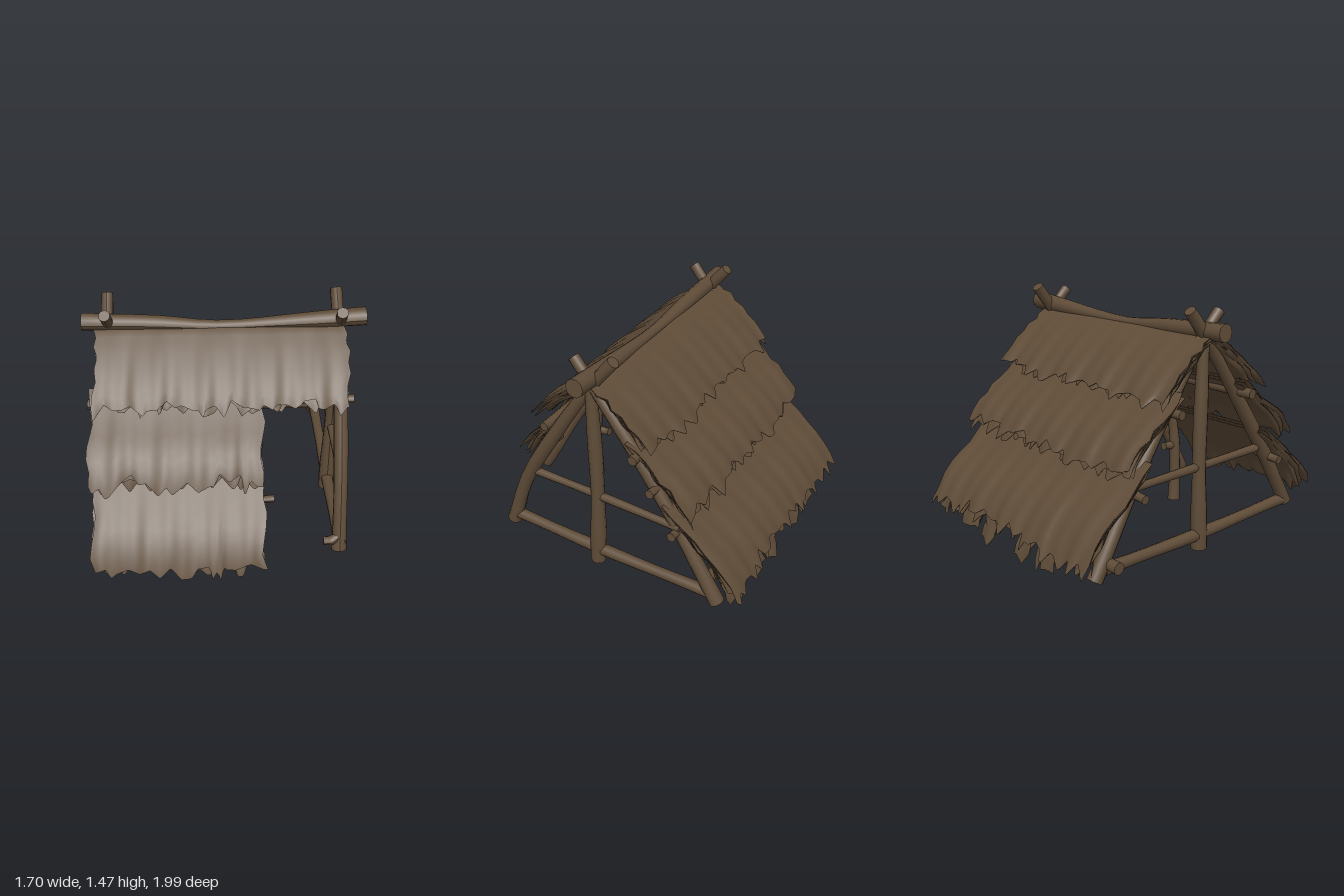
import * as THREE from 'three';

const wood = new THREE.MeshStandardMaterial({ color: 0x5f4c38, side: THREE.DoubleSide });
wood.name = 'weathered brown';

function seeded(seed) {
  let s = seed * 7919 + 17;
  return () => (s = (s * 16807) % 2147483647) / 2147483647;
}

const vec = (p) => new THREE.Vector3(...p);

// A rough pole: a capped cylinder bent along a curve, uneven in radius; waist thins its middle
function log(name, pts, r0, r1 = r0, waist = 0) {
  const curve = new THREE.CatmullRomCurve3(pts.map(vec));
  const geo = new THREE.CylinderGeometry(r1, r0, 1, 10, 12);
  const pos = geo.attributes.position;
  const up = new THREE.Vector3(0, 1, 0);
  const q = new THREE.Quaternion();
  const v = new THREE.Vector3();
  const phase = pts[0][0] * 9 + pts[0][2] * 5;
  for (let i = 0; i < pos.count; i++) {
    v.fromBufferAttribute(pos, i);
    const t = THREE.MathUtils.clamp(v.y + 0.5, 0, 1);
    const k = 1 + 0.07 * Math.sin(t * 11 + phase) - waist * Math.sin(Math.PI * t);
    v.set(v.x * k, 0, v.z * k);
    q.setFromUnitVectors(up, curve.getTangent(t));
    v.applyQuaternion(q).add(curve.getPoint(t));
    pos.setXYZ(i, v.x, v.y, v.z);
  }
  geo.computeVertexNormals();
  const mesh = new THREE.Mesh(geo, wood);
  mesh.name = name;
  return mesh;
}

// Amount cut from a ragged edge as a function of x: mostly shallow steps, now and then a long tuft
function raggedEdge(x0, x1, rand, depth) {
  const knots = [];
  for (let x = x0; x < x1 + 0.15; x += 0.015 + 0.06 * rand()) {
    const pick = rand();
    const cut = pick < 0.2 ? 0.25 * rand() : pick < 0.85 ? 0.4 + 0.3 * rand() : 0.75 + 0.25 * rand();
    knots.push([x, depth * cut]);
  }
  return (x) => {
    const i = Math.max(1, knots.findIndex((k) => k[0] > x));
    const [a, b] = [knots[i - 1], knots[i]];
    return THREE.MathUtils.lerp(a[1], b[1], THREE.MathUtils.clamp((x - a[0]) / (b[0] - a[0]), 0, 1));
  };
}

// One thatch layer: a closed lamina following a [z, y] profile, with a ragged lower edge
function thatch(name, profile, x0, x1, thick, depth, seed) {
  const rand = seeded(seed);
  const curve = new THREE.CatmullRomCurve3(profile.map(([z, y]) => new THREE.Vector3(0, y, z)));
  const side = Math.sign(profile[profile.length - 1][0]);
  const length = curve.getLength();
  const edge = raggedEdge(x0, x1, rand, depth);
  const nx = Math.max(8, Math.round((x1 - x0) * 85)), nt = 9, ring = 2 * nt;
  const wobble = Array.from({ length: nt }, () => (rand() - 0.5) * 0.035);
  const ph = rand() * 6;
  const positions = [], index = [];
  for (let i = 0; i <= nx; i++) {
    const u = i / nx;
    const x = x0 + (x1 - x0) * u;
    const rim = i === 0 || i === nx ? 0.15 : 1;
    const trim = 1 - edge(x) / length;
    for (let j = 0; j < ring; j++) {
      const outer = j < nt;
      const row = outer ? j : ring - 1 - j;
      const s = row / (nt - 1);
      const p = curve.getPoint(s * trim);
      const tan = curve.getTangent(s * trim);
      // outward normal of the slope
      const ny = Math.abs(tan.z), nz = side * Math.abs(tan.y);
      const ripple = s * (0.006 * Math.sin(x * 19 + ph + s * 2) + 0.004 * Math.sin(x * 47 + ph * 3));
      const d = ripple - (outer ? 0 : thick * rim * Math.sin(Math.PI * (0.12 + 0.8 * s)));
      const shift = wobble[row] * Math.abs(2 * u - 1) ** 8;
      positions.push(x + shift, p.y + ny * d, p.z + nz * d);
    }
  }
  for (let i = 0; i < nx; i++) {
    for (let j = 0; j < ring; j++) {
      const a = i * ring + j, b = i * ring + ((j + 1) % ring);
      const c = a + ring, e = b + ring;
      if (side > 0) index.push(a, b, c, b, e, c);
      else index.push(a, c, b, b, c, e);
    }
  }
  const geo = new THREE.BufferGeometry();
  geo.setAttribute('position', new THREE.Float32BufferAttribute(positions, 3));
  geo.setIndex(index);
  geo.computeVertexNormals();
  const mesh = new THREE.Mesh(geo, wood);
  mesh.name = name;
  return mesh;
}

// A tier is three layers that lie together at the top and fan apart toward the tips
function tier(name, profile, x0, x1, depth, seed) {
  const g = new THREE.Group();
  g.name = name;
  const side = Math.sign(profile[profile.length - 1][0]);
  for (let m = 0; m < 3; m++) {
    const layer = profile.map(([z, y], i) => {
      const k = i / (profile.length - 1);
      return [z - side * m * (0.008 + 0.03 * k * k), y - m * 0.014 * (1 - 0.6 * k)];
    });
    g.add(thatch(`${name}Layer${m + 1}`, layer, x0 + m * 0.01, x1 - m * 0.01, 0.026, depth, seed + m * 40));
  }
  return g;
}

export function createModel() {
  const model = new THREE.Group();
  model.name = 'thatchedShelter';
  const add = (...parts) => model.add(...parts);

  // Ridge beam, sagging and thinner in the middle
  add(log('ridgeBeam', [[-0.85, 1.33, 0], [-0.4, 1.315, 0], [-0.05, 1.295, 0.005], [0.4, 1.315, 0], [0.84, 1.345, 0]], 0.057, 0.057, 0.35));

  // Gable frames: post, crossed rafters, tie and sill
  for (const s of [-1, 1]) {
    const x = s * 0.69;
    const sillEnd = s > 0 ? 0.66 : 0.82;
    add(log('gablePost', [[x, 0.01, 0], [x, 0.6, -0.015], [x, 1.28, 0]], 0.05, 0.036));
    add(log('backRafter', [[x, 0.06, -0.82], [x, 0.55, -0.53], [x, 0.95, -0.27], [x, 1.28, -0.02], [x - 0.01, 1.43, 0.11]], 0.045, 0.033));
    add(log('gableTie', [[x + s * 0.02, 0.53, -0.58], [x, 0.525, 0], [x, 0.53, 0.5]], 0.025));
    add(log('gableSill', [[x, 0.11, -0.76], [x, 0.1, 0], [x, 0.12, sillEnd]], 0.036));
  }
  add(log('frontRafterRight', [[-0.69, 0.1, 0.82], [-0.69, 0.55, 0.54], [-0.69, 0.92, 0.28], [-0.7, 1.28, 0.01], [-0.7, 1.45, -0.13]], 0.047, 0.033));
  add(log('frontRafterLeft', [[0.69, 0.06, 0.65], [0.69, 0.45, 0.51], [0.69, 0.88, 0.26], [0.68, 1.28, 0], [0.67, 1.46, -0.14]], 0.048, 0.034));
  add(log('branchStub', [[0.59, 0.13, 0.65], [0.64, 0.135, 0.65], [0.69, 0.16, 0.63]], 0.028));

  // Doorway edge pole, and the forked prop behind the front thatch
  add(log('doorPole', [[0.18, 0.13, 0.76], [0.18, 0.53, 0.53], [0.18, 0.94, 0.29]], 0.034, 0.03));
  add(log('innerProp', [[-0.02, 0.01, 0.47], [-0.02, 0.3, 0.475], [-0.02, 0.5, 0.46], [-0.02, 0.72, 0.42]], 0.04, 0.03));
  add(log('propFork', [[-0.02, 0.4, 0.47], [-0.02, 0.405, 0.42], [-0.02, 0.41, 0.365]], 0.026));

  // Purlins, and the pegs that stick out past the rafters: [name, x0, x1, y, z, radius]
  const bars = [
    ['frontPurlin', -0.82, 0.76, 0.94, 0.29, 0.03],
    ['backPurlin', -0.82, 0.76, 0.92, -0.3, 0.028],
    ['backRail', -0.8, 0.64, 0.155, -0.74, 0.034],
    ['peg', 0.62, 0.78, 0.75, -0.42, 0.025],
    ['peg', 0.62, 0.78, 0.5, -0.56, 0.026],
    ['peg', -0.81, -0.62, 0.5, -0.56, 0.026],
    ['peg', -0.8, -0.62, 0.46, 0.6, 0.026],
    ['peg', 0.1, 0.28, 0.435, 0.6, 0.022],
  ];
  for (const [name, x0, x1, y, z, r] of bars) {
    add(log(name, [[x0, y - 0.008, z], [(x0 + x1) / 2, y, z], [x1, y + 0.008, z]], r));
  }

  // Front thatch; the two lower tiers stop at the doorway
  add(tier('frontUpperThatch', [[0.035, 1.3], [0.17, 1.21], [0.33, 1.08], [0.47, 0.93]], -0.77, 0.72, 0.13, 3));
  add(tier('frontMiddleThatch', [[0.25, 1.02], [0.42, 0.89], [0.6, 0.76], [0.74, 0.57]], -0.8, 0.21, 0.15, 5));
  add(tier('frontLowerThatch', [[0.48, 0.68], [0.68, 0.52], [0.86, 0.36], [0.99, 0.15]], -0.79, 0.21, 0.13, 8));

  // Back thatch, full width
  add(tier('backUpperThatch', [[-0.035, 1.3], [-0.17, 1.21], [-0.32, 1.08], [-0.45, 0.94]], -0.78, 0.73, 0.12, 11));
  add(tier('backMiddleThatch', [[-0.25, 1.02], [-0.42, 0.88], [-0.58, 0.75], [-0.72, 0.57]], -0.78, 0.74, 0.14, 14));
  add(tier('backLowerThatch', [[-0.48, 0.67], [-0.67, 0.5], [-0.86, 0.34], [-1.0, 0.13]], -0.78, 0.74, 0.16, 19));

  // Loose tufts hanging below the back edge
  for (const [x0, x1, y] of [[-0.48, -0.31, 0.02], [-0.27, -0.13, 0.03], [0.08, 0.22, 0.03], [0.26, 0.44, 0.05], [0.6, 0.72, 0.04]]) {
    add(thatch('hangingTuft', [[-0.76, 0.37], [-0.86, 0.25], [-0.96, y]], x0, x1, 0.02, 0.08, Math.round(60 + x0 * 50)));
  }

  return model;
}
